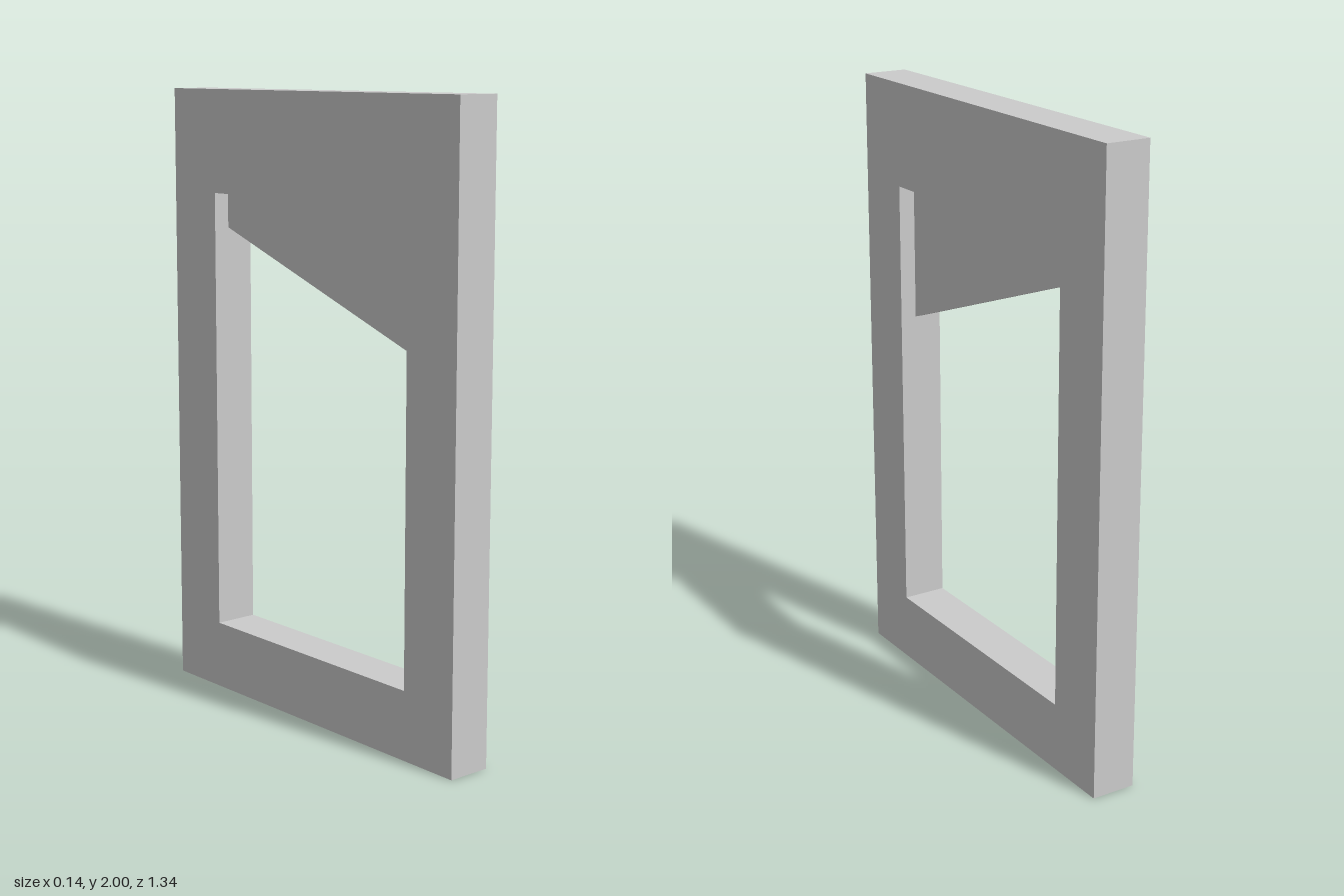
import * as THREE from 'three';

const material = new THREE.MeshStandardMaterial({ color: 0xcccccc, flatShading: true });

// Opening bounds along z and y
const BACK = -0.457, FRONT = 0.461, SILL = 0.222, HEAD = 1.668;

const outline = (points) => points.map(([z, y]) => new THREE.Vector2(z, y));

// Extrude a z/y outline across x, centred on x = 0
function slab(name, shape, thickness) {
  const geometry = new THREE.ExtrudeGeometry(shape, { depth: thickness, bevelEnabled: false });
  geometry.translate(0, 0, -thickness / 2);
  geometry.rotateY(-Math.PI / 2);
  const mesh = new THREE.Mesh(geometry, material);
  mesh.name = name;
  return mesh;
}

export function createModel() {
  const model = new THREE.Group();
  model.name = 'framedOpening';

  // Thick rectangular frame with an off-centre opening
  const frame = new THREE.Shape(outline([[-0.67, 0], [0.67, 0], [0.67, 2], [-0.67, 2]]));
  frame.holes.push(new THREE.Path(outline([[BACK, SILL], [BACK, HEAD], [FRONT, HEAD], [FRONT, SILL]])));
  model.add(slab('frame', frame, 0.145));

  // Thin panel with a sloping lower edge, set midway in the opening
  const panel = new THREE.Shape(outline([[BACK, 1.554], [FRONT, 1.226], [FRONT, HEAD], [BACK, HEAD]]));
  model.add(slab('slopedPanel', panel, 0.038));

  return model;
}
